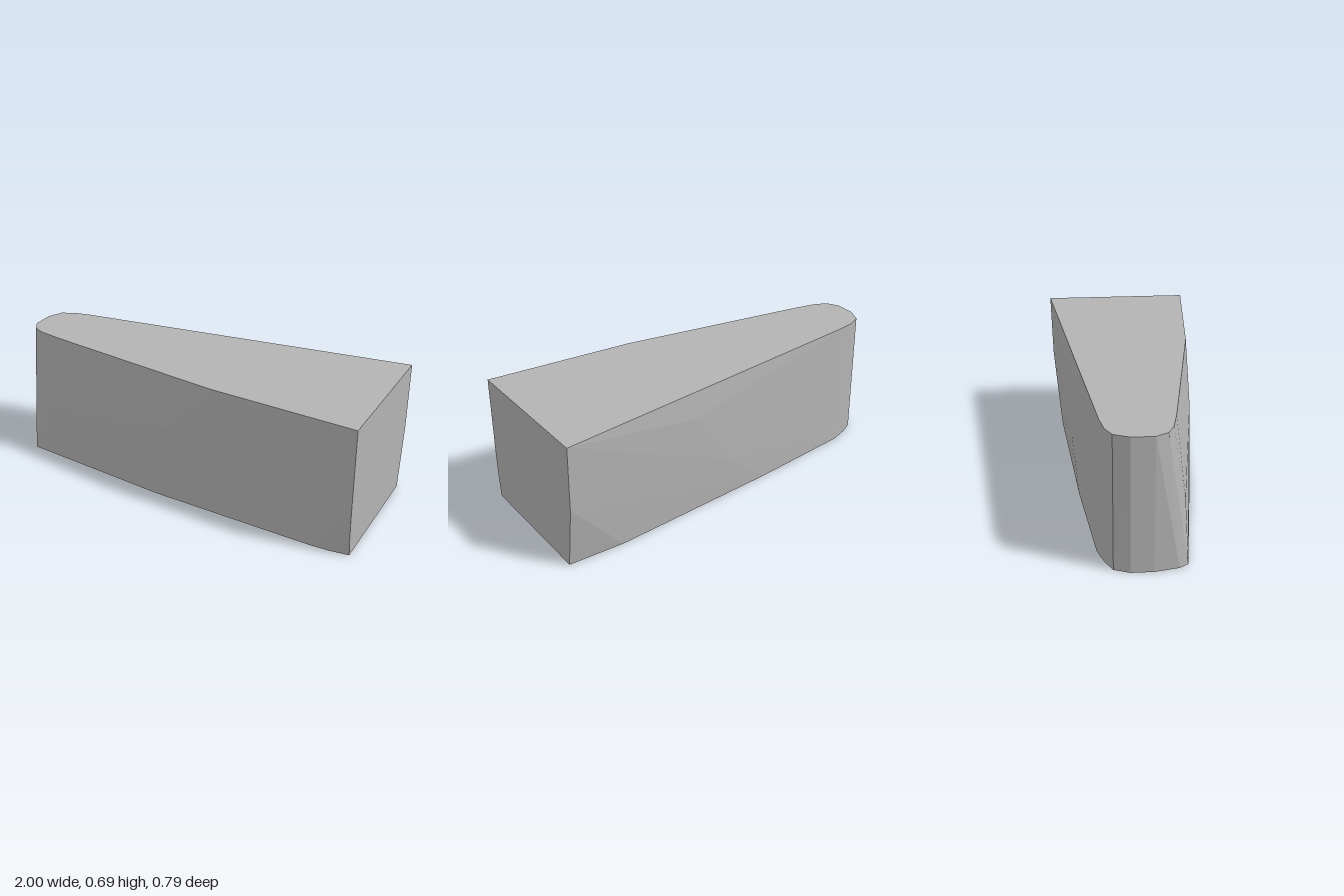
import * as THREE from 'three';
import { ConvexGeometry } from 'three/addons/geometries/ConvexGeometry.js';

export function createModel() {
  const group = new THREE.Group();
  const grey = new THREE.MeshStandardMaterial({ color: 0xb3b3b3 });
  grey.name = 'plain grey';

  const H = 0.685;
  // outlines as [x, z], from the wide end's back corner round the nose
  const top = [
    [1, -0.395], [-0.8, -0.198], [-0.9, -0.18], [-0.965, -0.148], [-1, -0.07],
    [-1, 0.04], [-0.965, 0.1], [-0.9, 0.13], [-0.78, 0.156], [0.22, 0.325], [1, 0.39],
  ];
  const bottom = [
    [1, -0.335], [0.7, -0.345], [-0.22, -0.277], [-0.8, -0.215], [-0.9, -0.182],
    [-0.968, -0.147], [-1, -0.07], [-1, 0.04], [-0.975, 0.16], [-0.945, 0.203],
    [-0.1, 0.32], [0.8, 0.386], [0.9, 0.386], [1, 0.377],
  ];
  // slight bulges on the two long sides, as [x, y, z]
  const sides = [
    [1, 0.34, -0.385], [1, 0.17, -0.361], [0.25, 0.545, -0.325], [0.01, 0.21, -0.302],
    [-0.85, 0.29, 0.197], [-0.03, 0.41, 0.319], [1, 0.09, 0.387], [1, 0.24, 0.392],
  ];

  const points = [
    ...top.map(([x, z]) => new THREE.Vector3(x, H, z)),
    ...bottom.map(([x, z]) => new THREE.Vector3(x, 0, z)),
    ...sides.map((p) => new THREE.Vector3(...p)),
  ];

  // faceted tapered block
  const block = new THREE.Mesh(new ConvexGeometry(points), grey);
  block.name = 'taperedBlock';
  group.add(block);
  return group;
}
